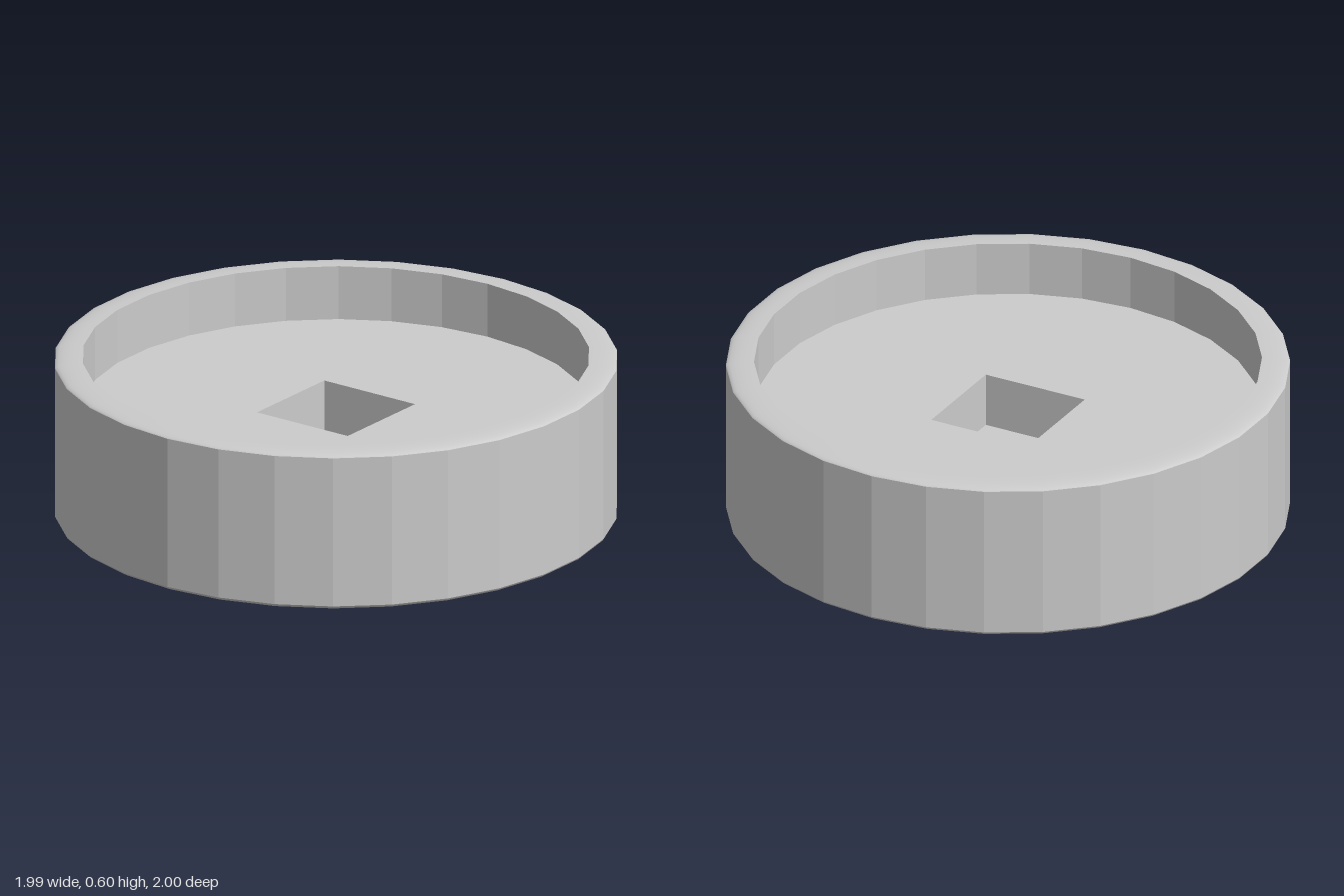
import * as THREE from 'three';

const SIDES = 30;
const INNER = 0.9;      // radius of the recess
const TOP = 0.6;
const FLOOR = 0.4;      // recess floor
const POCKET = 0.2;     // pocket floor and half width

const smooth = new THREE.MeshStandardMaterial({ color: 0xcccccc });
const faceted = new THREE.MeshStandardMaterial({ color: 0xcccccc, flatShading: true });

// Revolved surface; profile runs from the base centre outward, up and back in
function turned(name, profile, material, sides = SIDES, start = 0) {
  const points = profile.map(([r, y]) => new THREE.Vector2(r, y));
  const mesh = new THREE.Mesh(new THREE.LatheGeometry(points, sides, start), material);
  mesh.name = name;
  return mesh;
}

// Quarter ellipse from the outer wall (r = 1, y0) to (INNER, y1)
function roundedEdge(y0, y1, steps = 6) {
  return Array.from({ length: steps + 1 }, (_, i) => {
    const a = (i / steps) * Math.PI / 2;
    return [INNER + (1 - INNER) * Math.cos(a), y0 + (y1 - y0) * Math.sin(a)];
  });
}

export function createModel() {
  const group = new THREE.Group();
  group.name = 'roundDish';

  // Underside with softly rounded edge
  group.add(turned('underside', [[0, 0], ...roundedEdge(0.025, 0).reverse()], smooth));

  // Faceted outer wall, rounded rim and faceted recess wall
  group.add(turned('outerWall', [[1, 0.025], [1, 0.585]], faceted));
  group.add(turned('rim', roundedEdge(0.585, TOP), smooth));
  group.add(turned('recessWall', [[INNER, TOP], [INNER, FLOOR]], faceted));

  // Recess floor with a square opening
  const outline = Array.from({ length: SIDES }, (_, i) => {
    const a = (i / SIDES) * Math.PI * 2;
    return new THREE.Vector2(INNER * Math.sin(a), INNER * Math.cos(a));
  });
  const floorShape = new THREE.Shape(outline);
  floorShape.holes.push(new THREE.Path([[-1, -1], [-1, 1], [1, 1], [1, -1]]
    .map(([x, z]) => new THREE.Vector2(x * POCKET, z * POCKET))));
  const floor = new THREE.Mesh(new THREE.ShapeGeometry(floorShape), faceted);
  floor.name = 'recessFloor';
  floor.rotation.x = -Math.PI / 2;
  floor.position.y = FLOOR;
  group.add(floor);

  // Square pocket below the floor
  const corner = POCKET * Math.SQRT2;
  group.add(turned('squarePocket',
    [[corner, FLOOR], [corner, POCKET], [0, POCKET]], faceted, 4, Math.PI / 4));

  return group;
}
